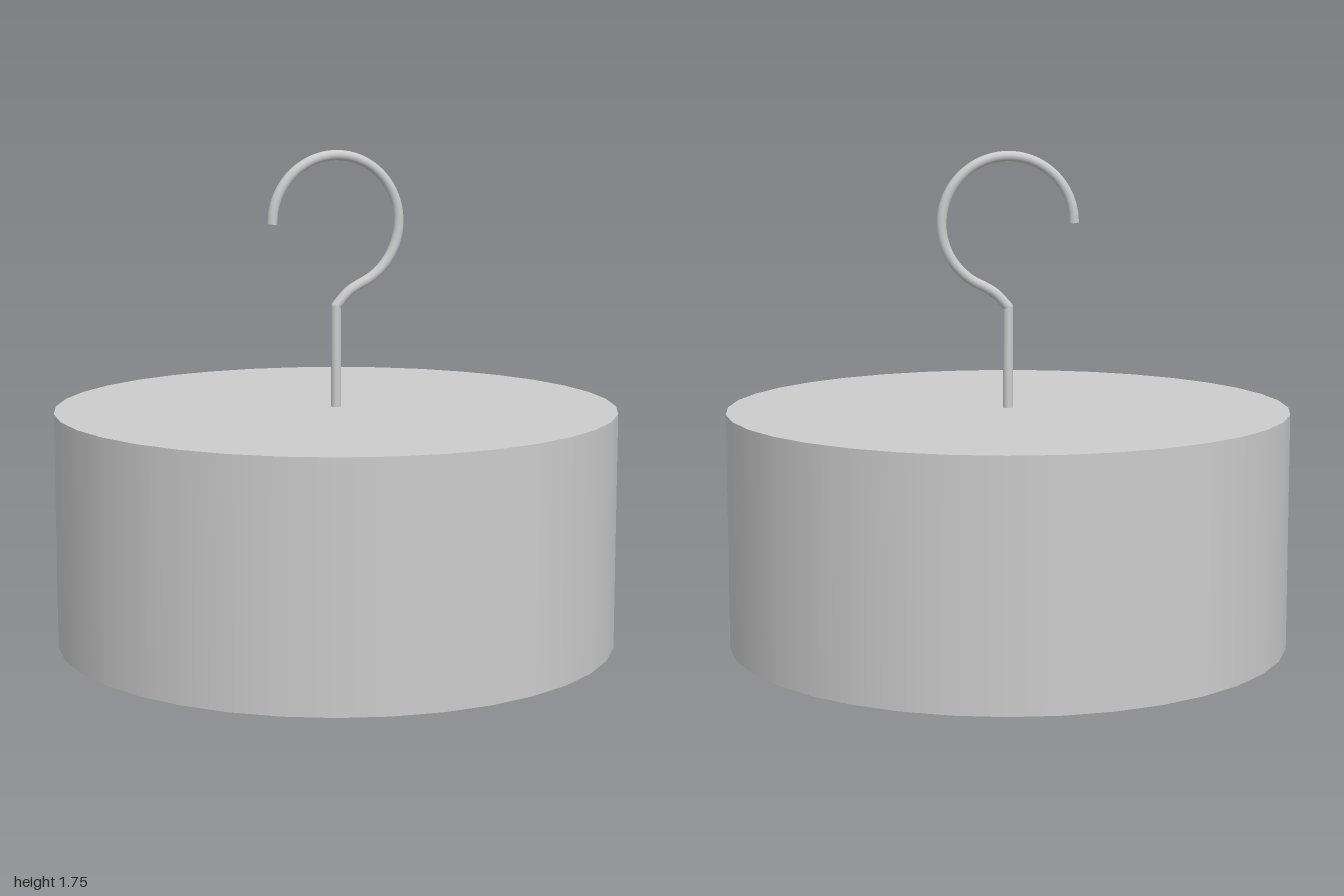
import * as THREE from 'three';

export function createModel() {
  const group = new THREE.Group();
  const material = new THREE.MeshStandardMaterial({ color: 0xcccccc });
  const add = (name, geometry, x, y, z) => {
    const mesh = new THREE.Mesh(geometry, material);
    mesh.name = name;
    mesh.position.set(x, y, z);
    group.add(mesh);
    return mesh;
  };

  const height = 0.84, wire = 0.018, ringRadius = 0.237, ringY = 1.495, neckY = 1.2;

  // Solid round weight
  add('weight', new THREE.CylinderGeometry(1, 1, height, 36), 0, height / 2, 0);

  // Straight wire stem, slightly sunk into the weight
  const stemBottom = height - 0.02;
  add('stem', new THREE.CylinderGeometry(wire, wire, neckY - stemBottom, 16), 0, (neckY + stemBottom) / 2, 0);
  add('stemJoint', new THREE.SphereGeometry(wire, 16, 10), 0, neckY, 0);

  // Hook: short slanted neck bending into a three-quarter ring
  const points = [[0, neckY], [0.022, 1.225], [0.046, 1.249]].map(([x, y]) => new THREE.Vector3(x, y, 0));
  for (let degrees = -68; degrees <= 180; degrees += 8) {
    const a = THREE.MathUtils.degToRad(degrees);
    points.push(new THREE.Vector3(ringRadius * Math.cos(a), ringY + ringRadius * Math.sin(a), 0));
  }
  const path = new THREE.CatmullRomCurve3(points);
  add('hook', new THREE.TubeGeometry(path, 96, wire, 16), 0, 0, 0);

  // Flat cap closing the free end, facing down
  const tip = points[points.length - 1];
  add('hookTip', new THREE.CircleGeometry(wire, 16), tip.x, tip.y, 0).rotation.x = Math.PI / 2;

  return group;
}
